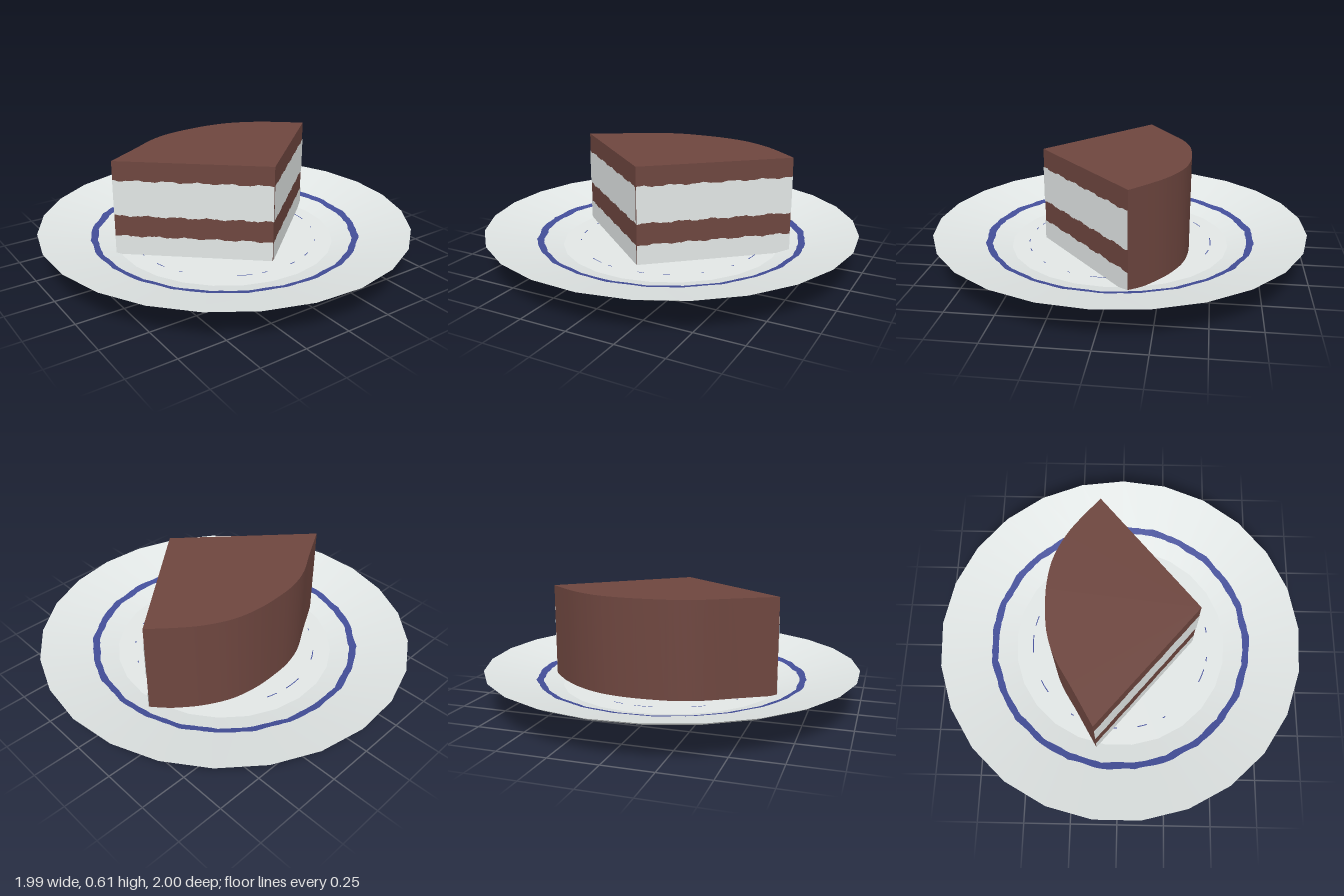
import * as THREE from 'three';
import { toCreasedNormals } from 'three/addons/utils/BufferGeometryUtils.js';

const SIDES = 25;
const FLOOR = 0.1;

function mat(name, color, side = THREE.FrontSide) {
  const m = new THREE.MeshStandardMaterial({ color, side });
  m.name = name;
  return m;
}

// Uneven hand-made edge
const wobble = (t, seed) =>
  0.5 * Math.sin(t * 5 + seed) + 0.3 * Math.sin(t * 13 + seed * 2.3) + 0.2 * Math.sin(t * 29 + seed * 4.1);

export function createModel() {
  const group = new THREE.Group();
  const china = mat('china white', 0xe4e9e8);
  const cream = mat('cream', 0xe4e9e8, THREE.DoubleSide);
  const chocolate = mat('chocolate', 0x6e463f);
  const blue = mat('glaze blue', 0x444f9a, THREE.DoubleSide);

  const add = (name, geometry, material, parent = group) => {
    const mesh = new THREE.Mesh(geometry, material);
    mesh.name = name;
    parent.add(mesh);
    return mesh;
  };

  // Plate: foot, underside, rim, sloped inside, flat floor
  const profile = [[0, 0], [0.435, 0], [0.5, 0.037], [0.96, 0.18], [1, 0.2], [0.59, FLOOR], [0, FLOOR]]
    .map(([r, y]) => new THREE.Vector2(r, y));
  add('plate', toCreasedNormals(new THREE.LatheGeometry(profile, SIDES, Math.PI / 2), 0.17), china);

  // Painted ring lying on the plate's slope
  const slopeY = (r) => FLOOR + (r - 0.59) * 0.244 + 0.004;
  const n = 150;
  const ring = new THREE.LatheGeometry(
    [new THREE.Vector2(0.74, 0), new THREE.Vector2(0.7, 0)], n, Math.PI / 2);
  const pos = ring.attributes.position;
  for (let i = 0; i < pos.count; i++) {
    const a = (Math.floor(i / 2) % n) / n * Math.PI * 2;
    const r = (i % 2 ? 0.693 : 0.729) + 0.005 * wobble(a * 3, i % 2);
    // follow the straight facets of the plate
    const step = (Math.PI * 2) / SIDES;
    const facet = Math.cos(step / 2) / Math.cos((a % step) - step / 2);
    pos.setXYZ(i, Math.cos(a) * r * facet, slopeY(r), -Math.sin(a) * r * facet);
  }
  ring.computeVertexNormals();
  add('paintedRing', ring, blue);

  // Broken fine line on the plate's floor
  const dashes = new THREE.Group();
  dashes.name = 'fineLine';
  for (const [start, sweep] of [[72, 7], [86, 12], [118, 9], [148, 2], [174, 5], [192, 6],
    [209, 2], [243, 9], [258, 3], [278, 4], [293, 4], [315, 2], [335, 2], [350, 10]]) {
    const dash = add('fineLineDash', new THREE.RingGeometry(0.494, 0.499, 6, 1,
      THREE.MathUtils.degToRad(start), THREE.MathUtils.degToRad(sweep)), blue, dashes);
    dash.rotation.x = -Math.PI / 2;
    dash.position.y = FLOOR + 0.003;
  }
  group.add(dashes);

  // Cake wedge: pointed front, curved chocolate back (x, -z)
  const left = new THREE.Vector2(-0.6, 0.12);
  const tip = new THREE.Vector2(0.02, -0.41);
  const right = new THREE.Vector2(0.637, 0.117);
  const back = [[0.51, 0.225], [0.41, 0.295], [0.28, 0.355], [0.14, 0.38], [0, 0.38],
    [-0.13, 0.365], [-0.26, 0.32], [-0.41, 0.23]].map(([x, y]) => new THREE.Vector2(x, y));
  const curve = new THREE.SplineCurve([right, ...back, left]);
  const wedge = new THREE.Shape([tip, ...curve.getPoints(32)]);
  const body = new THREE.ExtrudeGeometry(wedge, { depth: 0.61 - FLOOR, bevelEnabled: false });
  body.rotateX(-Math.PI / 2).translate(0, FLOOR, 0);
  add('cakeWedge', toCreasedNormals(body, 0.4), chocolate);

  // Cream layers showing on both cut faces
  function creamLayer(name, a, b, low, high, seed) {
    const length = a.distanceTo(b);
    const steps = 60;
    const edge = (y, wave, s) => Array.from({ length: steps + 1 }, (_, i) => {
      const x = (i / steps) * length;
      return new THREE.Vector2(x, y + wave * wobble(x * 8, s));
    });
    const outline = [
      ...edge(low, low > FLOOR + 0.01 ? 0.007 : 0, seed),
      ...edge(high, 0.007, seed + 2).reverse(),
    ];
    const layer = add(name, new THREE.ShapeGeometry(new THREE.Shape(outline)), cream);
    const turn = Math.atan2(b.y - a.y, b.x - a.x);
    layer.rotation.y = turn;
    layer.position.set(a.x + Math.sin(turn) * 0.003, 0, -a.y + Math.cos(turn) * 0.003);
  }
  [['Right', left, tip, 1], ['Left', tip, right, 5]].forEach(([side, a, b, seed]) => {
    creamLayer('upperCream' + side, a, b, 0.318, 0.509, seed);
    creamLayer('lowerCream' + side, a, b, FLOOR, 0.205, seed + 9);
  });

  return group;
}
